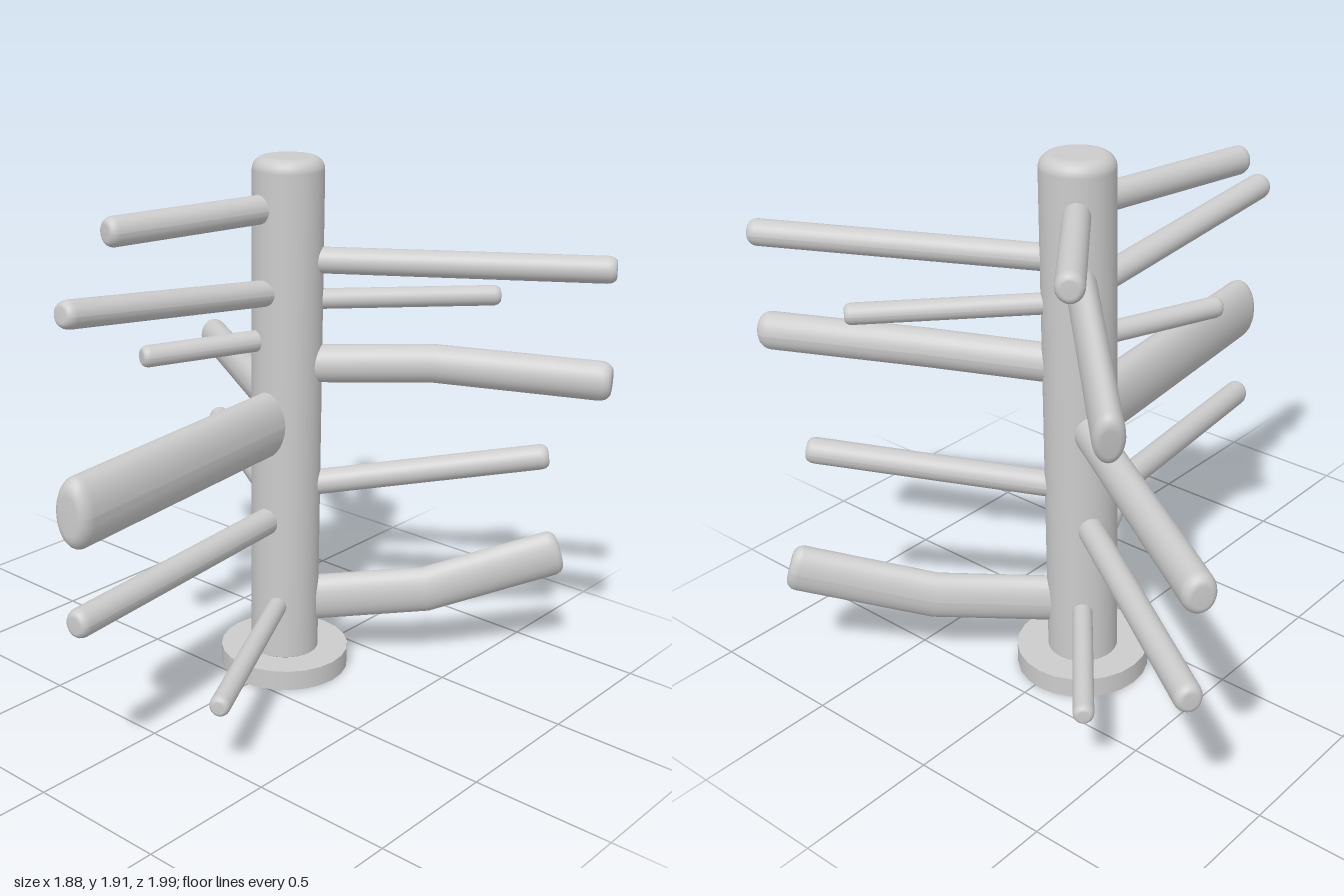
import * as THREE from 'three';

const CX = 0.21, CZ = -0.025; // trunk axis
const V = (x, y, z) => new THREE.Vector3(x, y, z);
const UP = V(0, 1, 0);

// Oval bar with rounded ends, swept along 2 or 3 points
function bar(points, halfWidth, halfHeight) {
  const bevel = 0.7 * halfWidth, inset = 0.45, steps = 5;
  const total = points.slice(1).reduce((s, p, i) => s + p.distanceTo(points[i]), 0);

  // Unit-radius profile, y is the distance along the path
  const profile = [new THREE.Vector2(0, 0)];
  for (let i = 0; i <= steps; i++) {
    const a = (i / steps) * Math.PI / 2;
    profile.push(new THREE.Vector2(1 - inset * (1 - Math.sin(a)), bevel * (1 - Math.cos(a))));
  }
  const end = profile.slice().reverse().map((p) => new THREE.Vector2(p.x, total - p.y));
  if (points.length === 3) profile.push(new THREE.Vector2(1, points[0].distanceTo(points[1])));
  const geo = new THREE.LatheGeometry([...profile, ...end], 28);

  // Move every ring onto the path
  const dirs = points.slice(1).map((p, i) => p.clone().sub(points[i]).normalize());
  const bend = points[0].distanceTo(points[1]);
  const pos = geo.attributes.position;
  for (let i = 0; i < pos.count; i++) {
    const d = pos.getY(i);
    const k = dirs.length > 1 && d > bend + 1e-4 ? 1 : 0;
    const centre = points[k].clone().addScaledVector(dirs[k], d - (k ? bend : 0));
    const atBend = dirs.length > 1 && Math.abs(d - bend) < 1e-4;
    const tangent = atBend ? dirs[0].clone().add(dirs[1]).normalize() : dirs[k];
    const side = UP.clone().cross(tangent).normalize();
    const lift = tangent.clone().cross(side);
    centre.addScaledVector(side, pos.getZ(i) * halfWidth).addScaledVector(lift, pos.getX(i) * halfHeight);
    pos.setXYZ(i, centre.x, centre.y, centre.z);
  }
  geo.computeVertexNormals();
  return geo;
}

export function createModel() {
  const group = new THREE.Group();
  const material = new THREE.MeshStandardMaterial({ color: 0xcccccc });
  const add = (name, geometry) => {
    const mesh = new THREE.Mesh(geometry, material);
    mesh.name = name;
    group.add(mesh);
    return mesh;
  };

  // Base disc
  add('base', new THREE.CylinderGeometry(0.237, 0.237, 0.075, 24)).position.set(CX, 0.0375, CZ);

  // Trunk with a rounded top edge
  const r = 0.125, b = 0.045, top = 1.91;
  const outline = [new THREE.Vector2(0, 0.075), new THREE.Vector2(r, 0.075), new THREE.Vector2(r, 0.076)];
  for (let i = 0; i <= 6; i++) {
    const a = (i / 6) * Math.PI / 2;
    outline.push(new THREE.Vector2(r - b + b * Math.cos(a), top - b + b * Math.sin(a)));
  }
  outline.push(new THREE.Vector2(0, top));
  add('trunk', new THREE.LatheGeometry(outline, 40)).position.set(CX, 0, CZ);

  // Branches: name, start height, tip, half width, half height, optional bend point
  const branches = [
    ['rightBranch', 1.74, [-0.51, 1.74, -0.16], 0.045, 0.05],
    ['rightBranch', 1.445, [-0.8, 1.55, -0.05], 0.047, 0.046],
    ['rightBranch', 1.275, [-0.31, 1.275, -0.22], 0.036, 0.038],
    ['rightBranch', 0.98, [-0.94, 0.98, 0.11], 0.068, 0.12],
    ['rightBranch', 0.61, [-0.93, 0.61, 0.105], 0.045, 0.05],
    ['rightBranch', 0.28, [-0.58, 0.28, 0.385], 0.035, 0.037],
    ['frontBranch', 1.555, [0.745, 1.578, 0.95], 0.045, 0.046],
    ['frontBranch', 1.41, [0.76, 1.41, 0.49], 0.036, 0.036],
    ['frontBranch', 1.18, [0.715, 1.205, 0.98], 0.058, 0.068, [0.47, 1.21, 0.42]],
    ['frontBranch', 0.72, [0.785, 0.855, 0.715], 0.045, 0.046],
    ['frontBranch', 0.26, [0.91, 0.445, 0.715], 0.052, 0.088, [0.565, 0.295, 0.36]],
    ['backBranch', 1.74, [0.76, 1.74, -0.46], 0.045, 0.05],
    ['backBranch', 1.5, [0.775, 1.32, -0.615], 0.05, 0.092],
    ['backBranch', 0.98, [0.815, 0.98, -0.975], 0.055, 0.067],
    ['backBranch', 0.61, [0.815, 0.61, -0.945], 0.045, 0.05],
    ['backBranch', 0.28, [0.745, 0.28, -0.48], 0.035, 0.036],
  ];
  for (const [name, y, tip, halfWidth, halfHeight, bend] of branches) {
    const aim = bend ?? tip;
    const start = V(aim[0] - CX, 0, aim[2] - CZ).setLength(0.05).add(V(CX, y, CZ));
    const path = [start, ...(bend ? [V(...bend)] : []), V(...tip)];
    add(name, bar(path, halfWidth, halfHeight));
  }
  return group;
}
